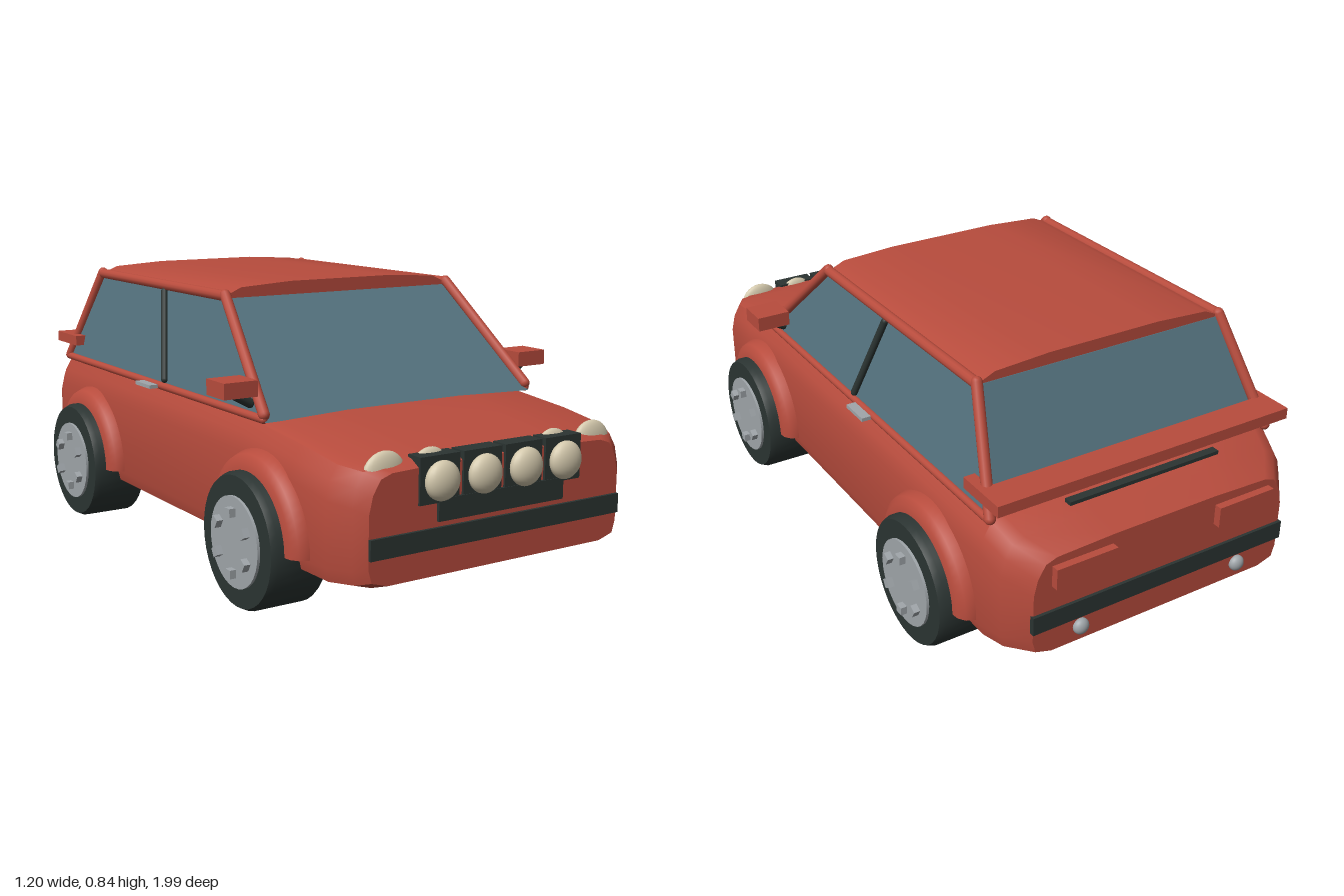
import * as THREE from 'three';
import { toCreasedNormals } from 'three/addons/utils/BufferGeometryUtils.js';

const mat = (name, color) => {
  const m = new THREE.MeshStandardMaterial({ color });
  m.name = name;
  return m;
};
const V = (x, y, z) => new THREE.Vector3(x, y, z);

export function createModel() {
  const car = new THREE.Group();
  car.name = 'car';
  const red = mat('red paint', 0xb84c3d);
  const glass = mat('window glass', 0x55737f);
  const dark = mat('black rubber', 0x2b3432);
  const silver = mat('silver metal', 0xa0a6aa);
  const cream = mat('lamp cream', 0xd3c8ac);

  const add = (name, geo, material, parent = car) => {
    const m = new THREE.Mesh(geo, material);
    m.name = name;
    parent.add(m);
    return m;
  };
  // Box given by its limits on each axis
  const box = (name, material, [x0, x1], [y0, y1], [z0, z1], parent = car) => {
    const g = new THREE.BoxGeometry(x1 - x0, y1 - y0, z1 - z0);
    g.translate((x0 + x1) / 2, (y0 + y1) / 2, (z0 + z1) / 2);
    return add(name, g, material, parent);
  };
  // Round bar between two points
  const rod = (name, material, a, b, r) => {
    const g = new THREE.CapsuleGeometry(r, a.distanceTo(b), 4, 12);
    const m = add(name, g, material);
    m.position.copy(a).lerp(b, 0.5);
    m.quaternion.setFromUnitVectors(V(0, 1, 0), b.clone().sub(a).normalize());
    return m;
  };
  const ellipsoid = (name, material, pos, size) => {
    const m = add(name, new THREE.SphereGeometry(1, 24, 16), material);
    m.position.set(...pos);
    m.scale.set(...size);
    return m;
  };

  // Lower body: rounded sections lofted from back to front [z, half width, top, bottom]
  const sections = [
    [-0.97, 0.42, 0.435, 0.14], [-0.9, 0.475, 0.475, 0.135], [-0.83, 0.495, 0.51, 0.135],
    [0.45, 0.495, 0.508, 0.135], [0.7, 0.495, 0.485, 0.135], [0.86, 0.49, 0.463, 0.135],
    [0.925, 0.455, 0.452, 0.137], [0.955, 0.425, 0.435, 0.145],
  ];
  const rings = sections.map(([z, w, t, b]) => {
    const half = [[w - 0.06, b], [w - 0.01, b + 0.015], [w, b + 0.05], [w, t - 0.1],
      [w - 0.012, t - 0.05], [w - 0.035, t - 0.012], [w - 0.07, t], [w * 0.4, t + 0.006]];
    const left = half.map(([x, y]) => [-x, y]).reverse();
    return [...half, ...left].map(([x, y]) => V(x, y, z));
  });
  const pos = [];
  const tri = (...pts) => pts.forEach((p) => pos.push(p.x, p.y, p.z));
  const n = rings[0].length, last = rings.length - 1;
  const backMid = V(0, 0.3, sections[0][0]), frontMid = V(0, 0.3, sections[last][0]);
  for (let j = 0; j < n; j++) {
    const k = (j + 1) % n;
    for (let i = 0; i < last; i++) {
      tri(rings[i][j], rings[i][k], rings[i + 1][j]);
      tri(rings[i][k], rings[i + 1][k], rings[i + 1][j]);
    }
    tri(backMid, rings[0][k], rings[0][j]);
    tri(frontMid, rings[last][j], rings[last][k]);
  }
  const bodyGeo = new THREE.BufferGeometry();
  bodyGeo.setAttribute('position', new THREE.Float32BufferAttribute(pos, 3));
  add('body', toCreasedNormals(bodyGeo, 0.65), red);
  box('underfloor', dark, [-0.34, 0.34], [0.108, 0.14], [-0.83, 0.81]);

  // Window block: a box with its corners drawn in toward the roof
  const cabin = new THREE.BoxGeometry(2, 2, 2);
  const p = cabin.attributes.position;
  for (let i = 0; i < p.count; i++) {
    const top = p.getY(i) > 0, front = p.getZ(i) > 0;
    p.setXYZ(i, p.getX(i) * (top ? 0.4 : 0.468), top ? 0.805 : 0.5,
      front ? (top ? 0.195 : 0.535) : (top ? -0.67 : -0.825));
  }
  cabin.computeVertexNormals();
  add('windows', cabin, glass);

  // Domed roof
  const roofHalf = [[0.4, 0.79], [0.4, 0.808], [0.35, 0.83], [0.18, 0.84]];
  const roofShape = new THREE.Shape([...roofHalf,
    ...roofHalf.map(([x, y]) => [-x, y]).reverse()].map(([x, y]) => new THREE.Vector2(x, y)));
  const roofGeo = new THREE.ExtrudeGeometry(roofShape, { depth: 0.868, bevelEnabled: false });
  roofGeo.translate(0, 0, -0.668);
  add('roof', toCreasedNormals(roofGeo, 0.5), red);

  // Wheel arch profile as radius and distance from the car's middle
  const archProfile = [[0.243, 0.42], [0.243, 0.495], [0.232, 0.52], [0.212, 0.534],
    [0.19, 0.537], [0.19, 0.42]].map(([r, d]) => new THREE.Vector2(r, d));
  const archGeo = toCreasedNormals(
    new THREE.LatheGeometry(archProfile, 28, Math.PI, Math.PI).rotateZ(-Math.PI / 2), 0.65);
  const archEnd = (s) => new THREE.ShapeGeometry(new THREE.Shape(
    archProfile.map((q) => new THREE.Vector2(q.y, s * q.x)))).rotateX(Math.PI / 2);
  // Tyre with softened shoulders
  const tyreGeo = toCreasedNormals(new THREE.LatheGeometry([[0, 0.4], [0.185, 0.4], [0.19, 0.408],
    [0.19, 0.555], [0.182, 0.572], [0, 0.572]].map(([r, d]) => new THREE.Vector2(r, d)), 36)
    .rotateZ(-Math.PI / 2), 0.6);

  for (const s of [1, -1]) {
    const side = s > 0 ? 'left' : 'right';
    for (const [end, z] of [['Front', 0.55], ['Rear', -0.57]]) {
      const wheel = new THREE.Group();
      wheel.name = side + end + 'Wheel';
      wheel.position.set(0, 0.19, z);
      wheel.rotation.y = s > 0 ? 0 : Math.PI;
      car.add(wheel);
      add('tyre', tyreGeo, dark, wheel);
      add('hub', new THREE.CylinderGeometry(0.127, 0.127, 0.02, 32)
        .rotateZ(-Math.PI / 2).translate(0.57, 0, 0), silver, wheel);
      for (let i = 0; i < 6; i++) {
        add('wheelNut', new THREE.BoxGeometry(0.024, 0.024, 0.026)
          .translate(0.587, 0.085, 0).rotateX(i * Math.PI / 3), silver, wheel);
      }
      add('wheelArch', archGeo, red, wheel);
      add('archEnd', archEnd(1), red, wheel);
      add('archEnd', archEnd(-1), red, wheel);
    }

    // Pillars and rails around the windows
    rod('windscreenPillar', red, V(s * 0.465, 0.52, 0.52), V(s * 0.403, 0.812, 0.2), 0.016);
    rod('rearPillar', red, V(s * 0.403, 0.812, -0.665), V(s * 0.465, 0.51, -0.83), 0.016);
    rod('roofRail', red, V(s * 0.403, 0.808, 0.2), V(s * 0.403, 0.808, -0.665), 0.016);
    rod('beltRail', red, V(s * 0.467, 0.507, 0.52), V(s * 0.467, 0.507, -0.83), 0.012);
    rod('doorPillar', dark, V(s * 0.467, 0.53, -0.075), V(s * 0.41, 0.79, -0.178), 0.011);
    const sideBox = (name, material, x0, x1, y, z) =>
      box(name, material, s > 0 ? [x0, x1] : [-x1, -x0], y, z);

    // Door mirror and handle
    sideBox('mirror', red, 0.465, 0.57, [0.565, 0.61], [0.39, 0.49]);
    rod('mirrorArm', dark, V(s * 0.465, 0.54, 0.445), V(s * 0.51, 0.565, 0.445), 0.014);
    sideBox('doorHandle', silver, 0.47, 0.507, [0.5, 0.511], [-0.2, -0.1]);

    // Headlamps, inner lamps and the row of spotlights
    const lamp = ellipsoid('headlamp', cream, [s * 0.355, 0.427, 0.918], [0.064, 0.058, 0.022]);
    lamp.rotation.z = -s * 0.15;
    ellipsoid('innerLamp', cream, [s * 0.21, 0.428, 0.918], [0.055, 0.05, 0.02]);
    for (const x of [0.07, 0.21]) {
      sideBox('spotlightBox', dark, x - 0.0635, x + 0.0635, [0.34, 0.465], [0.91, 0.962]);
      ellipsoid('spotlight', cream, [s * x, 0.4, 0.972], [0.053, 0.053, 0.028]);
    }

    // Rear lamps, exhausts and spoiler ends
    sideBox('rearLamp', red, 0.173, 0.365, [0.35, 0.412], [-0.992, -0.96]);
    ellipsoid('exhaust', silver, [s * 0.27, 0.187, -0.975], [0.024, 0.024, 0.018]);
    sideBox('spoilerEnd', red, 0.435, 0.483, [0.555, 0.588], [-0.82, -0.73]);
  }

  // Front and rear trim
  box('grille', dark, [-0.213, 0.213], [0.29, 0.35], [0.94, 0.964]);
  box('frontBumperStrip', dark, [-0.425, 0.425], [0.22, 0.275], [0.945, 0.964]);
  box('rearBumperStrip', dark, [-0.425, 0.425], [0.22, 0.275], [-0.979, -0.96]);
  box('spoiler', red, [-0.483, 0.483], [0.555, 0.588], [-0.895, -0.8]);
  box('tailgateHandle', dark, [-0.25, 0.25], [0.503, 0.514], [-0.88, -0.855]);
  return car;
}
